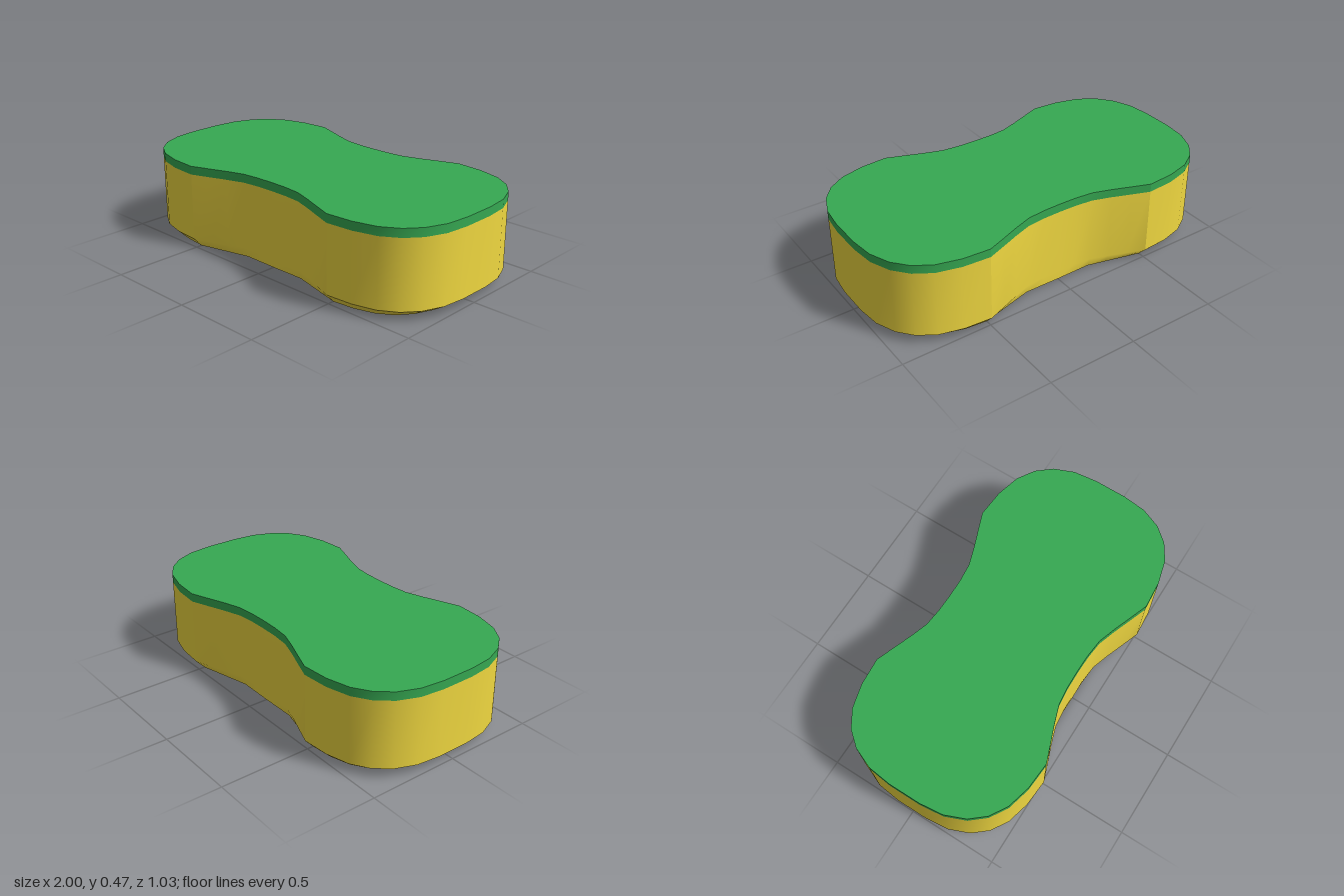
import * as THREE from 'three';

// Quarter outlines [x, z]: rim and the smaller foot below the chamfer
const END_RIM = [[1, 0.09], [0.985, 0.22], [0.94, 0.33], [0.873, 0.41], [0.78, 0.468], [0.65, 0.502], [0.5, 0.513]];
const END_FOOT = [[0.92, 0.08], [0.907, 0.2], [0.868, 0.295], [0.81, 0.368], [0.73, 0.42], [0.62, 0.453], [0.5, 0.465]];
const WAIST_RIM = [[0.5, 0.513], [0.4, 0.476], [0.3, 0.438], [0.2, 0.405], [0.1, 0.395], [0, 0.393]];
const WAIST_FOOT = [[0.5, 0.465], [0.4, 0.44], [0.3, 0.415], [0.2, 0.39], [0.1, 0.391], [0, 0.392]];

const Y_CHAMFER = 0.052, Y_SEAM = 0.425, Y_TOP = 0.472;

// Mirror quarters into one full end (back corner to front corner) or one full waist
const fullEnd = (q) => [...q.map(([x, z]) => [x, -z]).reverse(), ...q];
const fullWaist = (q) => [...q, ...q.slice(0, -1).reverse().map(([x, z]) => [-x, z])];
const opposite = (pts) => pts.map(([x, z]) => [-x, -z]);

function geometry(positions, index) {
  const g = new THREE.BufferGeometry();
  g.setAttribute('position', new THREE.Float32BufferAttribute(positions, 3));
  g.setIndex(index);
  g.computeVertexNormals();
  return g;
}

// Smooth wall through rings of equal length, listed from the bottom up
function wall(...rings) {
  const pos = [], idx = [], n = rings[0].pts.length;
  rings.forEach(({ pts, y }) => pts.forEach(([x, z]) => pos.push(x, y, z)));
  for (let r = 0; r < rings.length - 1; r++) {
    for (let i = 0; i < n - 1; i++) {
      const a = r * n + i, b = a + n;
      idx.push(a + 1, a, b, a + 1, b, b + 1);
    }
  }
  return geometry(pos, idx);
}

// Flat cap fanned from the middle
function cap(pts, y, up) {
  const pos = [0, y, 0], idx = [], n = pts.length;
  pts.forEach(([x, z]) => pos.push(x, y, z));
  for (let i = 0; i < n; i++) {
    const a = i + 1, b = (i + 1) % n + 1;
    idx.push(0, ...(up ? [b, a] : [a, b]));
  }
  return geometry(pos, idx);
}

export function createModel() {
  const model = new THREE.Group();
  model.name = 'sponge';
  const foam = new THREE.Group();
  foam.name = 'foamBody';
  const pad = new THREE.Group();
  pad.name = 'scouringPad';
  model.add(foam, pad);

  const yellow = new THREE.MeshStandardMaterial({ color: 0xf0d840 });
  const green = new THREE.MeshStandardMaterial({ color: 0x36a852 });
  const add = (group, name, geo, mat) => {
    const mesh = new THREE.Mesh(geo, mat);
    mesh.name = name;
    group.add(mesh);
  };

  const endRim = fullEnd(END_RIM), endFoot = fullEnd(END_FOOT);
  const waistRim = fullWaist(WAIST_RIM), waistFoot = fullWaist(WAIST_FOOT);

  // Each end and waist, then the same turned half way round
  [['left', 'front', (p) => p], ['right', 'back', opposite]].forEach(([end, side, turn]) => {
    const er = turn(endRim), ef = turn(endFoot), wr = turn(waistRim), wf = turn(waistFoot);
    add(foam, end + 'EndWall', wall({ pts: er, y: Y_CHAMFER }, { pts: er, y: Y_SEAM }), yellow);
    add(foam, end + 'EndChamfer', wall({ pts: ef, y: 0 }, { pts: er, y: Y_CHAMFER }), yellow);
    add(foam, side + 'WaistWall',
      wall({ pts: wf, y: 0 }, { pts: wr, y: Y_CHAMFER }, { pts: wr, y: Y_SEAM }), yellow);
    add(pad, end + 'EndPadEdge', wall({ pts: er, y: Y_SEAM }, { pts: er, y: Y_TOP }), green);
    add(pad, side + 'WaistPadEdge', wall({ pts: wr, y: Y_SEAM }, { pts: wr, y: Y_TOP }), green);
  });

  // Top of the pad and underside of the foam
  const loop = (e, w) => {
    const half = [...e, ...w.slice(1, -1)];
    return [...half, ...opposite(half)];
  };
  add(pad, 'padTop', cap(loop(endRim, waistRim), Y_TOP, true), green);
  add(foam, 'foamUnderside', cap(loop(endFoot, waistFoot), 0, false), yellow);
  return model;
}
